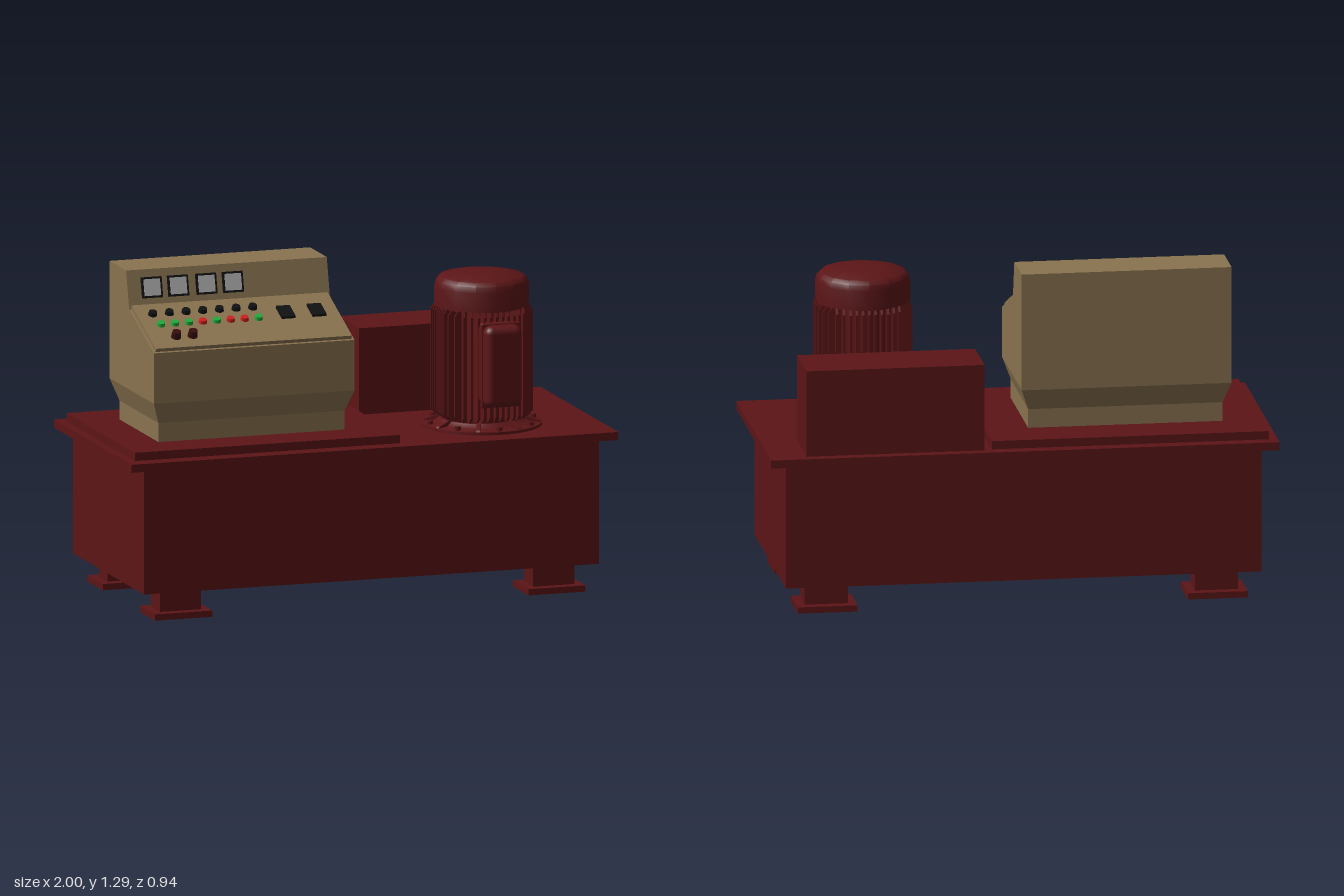
import * as THREE from 'three';
import { RoundedBoxGeometry } from 'three/addons/geometries/RoundedBoxGeometry.js';
import { toCreasedNormals } from 'three/addons/utils/BufferGeometryUtils.js';

const mat = (color) => new THREE.MeshStandardMaterial({ color });
const RED = mat(0x5c1517), TAN = mat(0x8a7350), BLACK = mat(0x111111), GREY = mat(0xb0b0b0);
const GREEN = mat(0x1fae3a), SIGNAL = mat(0xd02020), MAROON = mat(0x3a0d0d);

function add(parent, name, geometry, material, x = 0, y = 0, z = 0) {
  const mesh = new THREE.Mesh(geometry, material);
  mesh.name = name;
  mesh.position.set(x, y, z);
  parent.add(mesh);
  return mesh;
}

function group(parent, name, x = 0, y = 0, z = 0) {
  const g = new THREE.Group();
  g.name = name;
  g.position.set(x, y, z);
  parent.add(g);
  return g;
}

// Box given by its extents on each axis
function block(parent, name, material, [x0, x1], [y0, y1], [z0, z1]) {
  return add(parent, name, new THREE.BoxGeometry(x1 - x0, y1 - y0, z1 - z0), material,
    (x0 + x1) / 2, (y0 + y1) / 2, (z0 + z1) / 2);
}

// Extrusion of a (z, y) or (radius, y) outline
function extrude(points, depth) {
  const shape = new THREE.Shape(points.map(([x, y]) => new THREE.Vector2(x, y)));
  return new THREE.ExtrudeGeometry(shape, { depth, bevelEnabled: false });
}

function lathe(points, sides) {
  const geometry = new THREE.LatheGeometry(points.map(([x, y]) => new THREE.Vector2(x, y)), sides);
  return toCreasedNormals(geometry, 0.6);
}

function rectPath(path, w, d) {
  path.moveTo(-w / 2, -d / 2).lineTo(w / 2, -d / 2).lineTo(w / 2, d / 2).lineTo(-w / 2, d / 2).closePath();
  return path;
}

function buildBase(root) {
  const base = group(root, 'base');
  block(base, 'tank', RED, [-0.935, 0.935], [0.11, 0.605], [-0.43, 0.43]);
  block(base, 'tankLid', RED, [-1, 1], [0.605, 0.637], [-0.47, 0.47]);
  block(base, 'cabinetPlinth', RED, [-0.965, 0.125], [0.637, 0.67], [-0.42, 0.405]);
  block(base, 'rearBox', RED, [0.155, 0.855], [0.637, 0.98], [-0.43, -0.175]);

  // Feet: a flange around each post
  const flange = rectPath(new THREE.Shape(), 0.235, 0.185);
  flange.holes.push(rectPath(new THREE.Path(), 0.165, 0.1));
  const flangeGeometry = new THREE.ExtrudeGeometry(flange, { depth: 0.025, bevelEnabled: false });
  flangeGeometry.rotateX(-Math.PI / 2);
  for (const x of [-0.767, 0.767]) {
    for (const z of [-0.308, 0.322]) {
      const foot = group(base, 'foot', x, 0, z);
      add(foot, 'footFlange', flangeGeometry, RED);
      block(foot, 'footPost', RED, [-0.085, 0.085], [0.012, 0.11], [-0.053, 0.053]);
    }
  }
}

function buildCabinet(root) {
  const cabinet = group(root, 'controlCabinet');
  const profile = [[-0.268, 0.83], [0.268, 0.83], [0.268, 1.03], [-0.03, 1.147], [-0.067, 1.295], [-0.268, 1.295]];
  const body = extrude(profile, 0.825);
  body.rotateY(-Math.PI / 2);
  add(cabinet, 'cabinetBody', body, TAN, -0.015);

  // Taper from the body down to the narrower base
  const taper = new THREE.BoxGeometry(0.825, 0.085, 0.536);
  const p = taper.attributes.position;
  for (let i = 0; i < p.count; i++) {
    if (p.getY(i) < 0) p.setXYZ(i, p.getX(i) * 0.927, p.getY(i), p.getZ(i) * 0.877);
  }
  taper.computeVertexNormals();
  add(cabinet, 'cabinetTaper', taper, TAN, -0.4275, 0.7875, 0);
  block(cabinet, 'cabinetBase', TAN, [-0.81, -0.045], [0.67, 0.745], [-0.235, 0.235]);

  // Sloping console: local y is its normal, local z runs down the slope
  const tilt = 0.375;
  const console = group(cabinet, 'consolePanel', 0, 1.163, -0.03);
  console.rotation.x = tilt;
  block(console, 'consolePlate', TAN, [-0.83, -0.025], [-0.018, 0], [0, 0.317]);
  const along = (z) => (z + 0.03) / Math.cos(tilt);
  const knob = (name, r, h, material, x, z) =>
    add(console, name, new THREE.CylinderGeometry(r * 0.85, r, h, 16), material, x, h / 2, along(z));
  for (let i = 0; i < 7; i++) knob('blackButton', 0.018, 0.016, BLACK, -0.768 + i * 0.0685, 0.041);
  [GREEN, GREEN, GREEN, SIGNAL, GREEN, SIGNAL, SIGNAL, GREEN].forEach((m, i) =>
    knob('indicatorLamp', 0.017, 0.014, m, -0.758 + i * 0.0573, 0.112));
  for (const x of [-0.725, -0.657]) knob('stopButton', 0.02, 0.028, MAROON, x, 0.198);
  for (const x of [-0.237, -0.11]) {
    block(console, 'rockerSwitch', BLACK, [x - 0.028, x + 0.028], [0, 0.01], [along(0.05), along(0.125)]);
  }

  // Row of gauges on the upper panel
  const upper = group(cabinet, 'gaugePanel', 0, 1.225, -0.0495);
  upper.rotation.x = -0.245;
  for (const x of [-0.742, -0.634, -0.518, -0.409]) {
    block(upper, 'gaugeFrame', BLACK, [x - 0.042, x + 0.042], [-0.041, 0.041], [-0.004, 0.01]);
    block(upper, 'gaugeFace', GREY, [x - 0.034, x + 0.034], [-0.033, 0.033], [0.008, 0.012]);
  }
}

function buildMotor(root) {
  const motor = group(root, 'motor', 0.55, 0, 0.143);
  add(motor, 'motorCore', lathe([[0, 0.65], [0.15, 0.65], [0.155, 0.68], [0.155, 1.12], [0, 1.12]], 32), RED);
  add(motor, 'fanCover', lathe([[0, 1.112], [0.186, 1.112], [0.186, 1.19], [0.18, 1.213], [0.165, 1.228],
    [0.08, 1.245], [0, 1.245]], 14), RED);

  // Parallel cooling fins on four sides
  const reach = 0.187, thick = 0.009;
  for (let side = 0; side < 4; side++) {
    const fins = group(motor, 'coolingFins');
    fins.rotation.y = side * Math.PI / 2;
    for (let i = -5; i <= 5; i++) {
      const offset = i * 0.0245;
      const tip = Math.min(0.184, Math.sqrt(reach ** 2 - offset ** 2) + 0.012);
      const outline = [[0.08, 0.665], [tip - 0.02, 0.675], [tip, 0.695], [tip, 1.095], [tip - 0.015, 1.115], [0.08, 1.115]];
      add(fins, 'coolingFin', extrude(outline, thick), RED, 0, 0, offset - thick / 2);
    }
  }

  // Mounting flange with gussets and bolts
  add(motor, 'mountingFlange', lathe([[0, 0.637], [0.235, 0.637], [0.235, 0.648], [0.185, 0.652],
    [0.165, 0.668], [0, 0.668]], 32), RED);
  for (let i = 0; i < 8; i++) {
    const a = (i + 0.5) * Math.PI / 4;
    const gusset = add(motor, 'flangeGusset', extrude([[0.13, 0.645], [0.232, 0.645], [0.225, 0.655], [0.15, 0.68]], 0.016), RED);
    gusset.geometry.translate(0, 0, -0.008);
    gusset.rotation.y = a;
    add(motor, 'flangeBolt', new THREE.CylinderGeometry(0.012, 0.012, 0.018, 6), RED,
      0.212 * Math.cos(a + 0.39), 0.655, 0.212 * Math.sin(a + 0.39));
  }

  // Terminal box on the front with a seam flange
  const box = group(motor, 'terminalBox', 0, 0.914, 0);
  add(box, 'terminalBoxBody', new RoundedBoxGeometry(0.152, 0.322, 0.15, 3, 0.03), RED, 0, 0, 0.21);
  add(box, 'terminalBoxSeam', new RoundedBoxGeometry(0.164, 0.336, 0.014, 2, 0.006), RED, 0, 0, 0.23);
}

export function createModel() {
  const root = new THREE.Group();
  root.name = 'hydraulicPowerUnit';
  buildBase(root);
  buildCabinet(root);
  buildMotor(root);
  return root;
}
